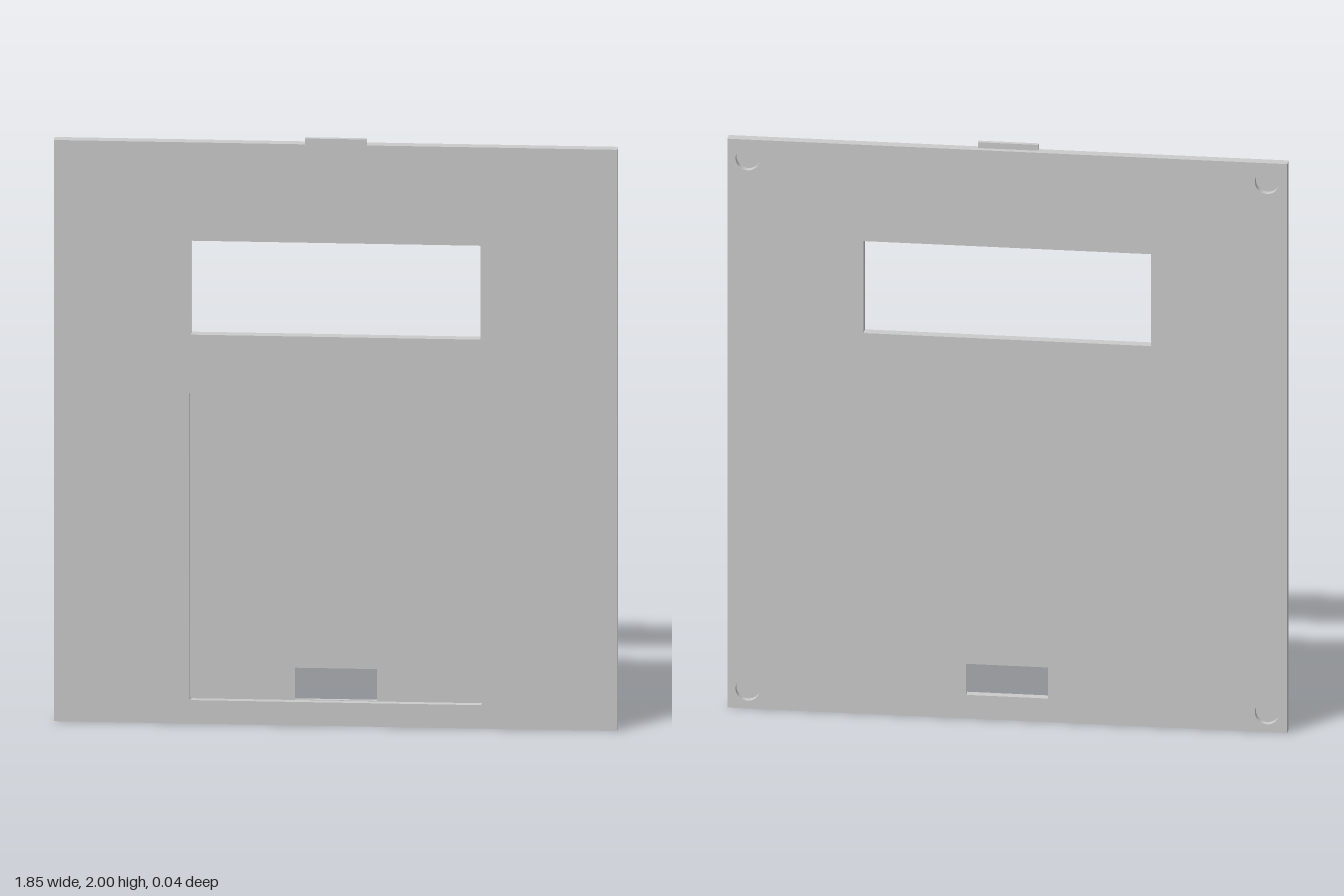
import * as THREE from 'three';
import { toCreasedNormals } from 'three/addons/utils/BufferGeometryUtils.js';

const FRONT = 0.018, BACK = -0.018;   // plate faces
const POCKET_Z = -0.005;              // floor of the front recess
const MAGNET_Z = 0.005;               // floor of the round rear pockets

const material = new THREE.MeshStandardMaterial({ color: 0xcccccc });

// Counter-clockwise rectangle, centred on x = 0, with optional rounded corners
function rect(halfWidth, y0, y1, r = 0) {
  const corners = [[halfWidth - r, y0 + r, -90], [halfWidth - r, y1 - r, 0],
    [-halfWidth + r, y1 - r, 90], [-halfWidth + r, y0 + r, 180]];
  const steps = r > 0 ? 4 : 0;
  const points = [];
  for (const [x, y, start] of corners) {
    for (let i = 0; i <= steps; i++) {
      const a = THREE.MathUtils.degToRad(start + (steps ? 90 * i / steps : 0));
      points.push(new THREE.Vector2(x + r * Math.cos(a), y + r * Math.sin(a)));
    }
  }
  return points;
}

function circle(x, y, r, n = 32) {
  return Array.from({ length: n }, (_, i) => {
    const a = i / n * Math.PI * 2;
    return new THREE.Vector2(x + r * Math.cos(a), y + r * Math.sin(a));
  });
}

export function createModel() {
  const group = new THREE.Group();
  const add = (name, geometry) => {
    const mesh = new THREE.Mesh(geometry, material);
    mesh.name = name;
    group.add(mesh);
  };

  // Flat face with holes; rear faces are turned about y (outlines are symmetric or re-placed)
  const face = (name, outline, holes, z, rear = false) => {
    const flip = pts => rear ? pts.map(p => new THREE.Vector2(-p.x, p.y)) : pts;
    const shape = new THREE.Shape(flip(outline));
    shape.holes = holes.map(h => new THREE.Path(flip(h)));
    const geometry = new THREE.ShapeGeometry(shape);
    if (rear) geometry.rotateY(Math.PI);
    add(name, geometry.translate(0, 0, z));
  };

  // Side wall along a closed outline, facing outward or into an opening
  const wall = (name, outline, z0, z1, inward = true) => {
    const pts = inward ? [...outline].reverse() : outline;
    const pos = [];
    pts.forEach((a, i) => {
      const b = pts[(i + 1) % pts.length];
      pos.push(a.x, a.y, z0, b.x, b.y, z0, b.x, b.y, z1);
      pos.push(a.x, a.y, z0, b.x, b.y, z1, a.x, a.y, z1);
    });
    const geometry = new THREE.BufferGeometry();
    geometry.setAttribute('position', new THREE.Float32BufferAttribute(pos, 3));
    add(name, toCreasedNormals(geometry, 0.6));
  };

  const plate = rect(0.925, 0, 1.98);
  const windowHole = rect(0.475, 1.325, 1.645);
  const pocket = rect(0.48, 0.08, 1.13, 0.008);
  const slot = rect(0.135, 0.082, 0.19);
  const magnets = [];
  for (const x of [-0.858, 0.858]) {
    for (const y of [0.067, 1.913]) magnets.push(circle(x, y, 0.04));
  }

  // Panel shell
  face('panelFront', plate, [windowHole, pocket], FRONT);
  face('panelBack', plate, [windowHole, slot, ...magnets], BACK, true);
  wall('panelEdge', plate, BACK, FRONT, false);

  // Openings
  wall('windowWall', windowHole, BACK, FRONT);
  wall('recessWall', pocket, POCKET_Z, FRONT);
  face('recessFloor', pocket, [slot], POCKET_Z);
  wall('slotWall', slot, BACK, POCKET_Z);

  // Blind round pockets in the rear corners
  for (const m of magnets) {
    wall('cornerPocketWall', m, BACK, MAGNET_Z);
    face('cornerPocketFloor', m, [], MAGNET_Z, true);
  }

  // Tab on the top edge, flush with the front
  add('topTab', new THREE.BoxGeometry(0.2, 0.02, 0.016).translate(0, 1.99, 0.01));

  return group;
}
